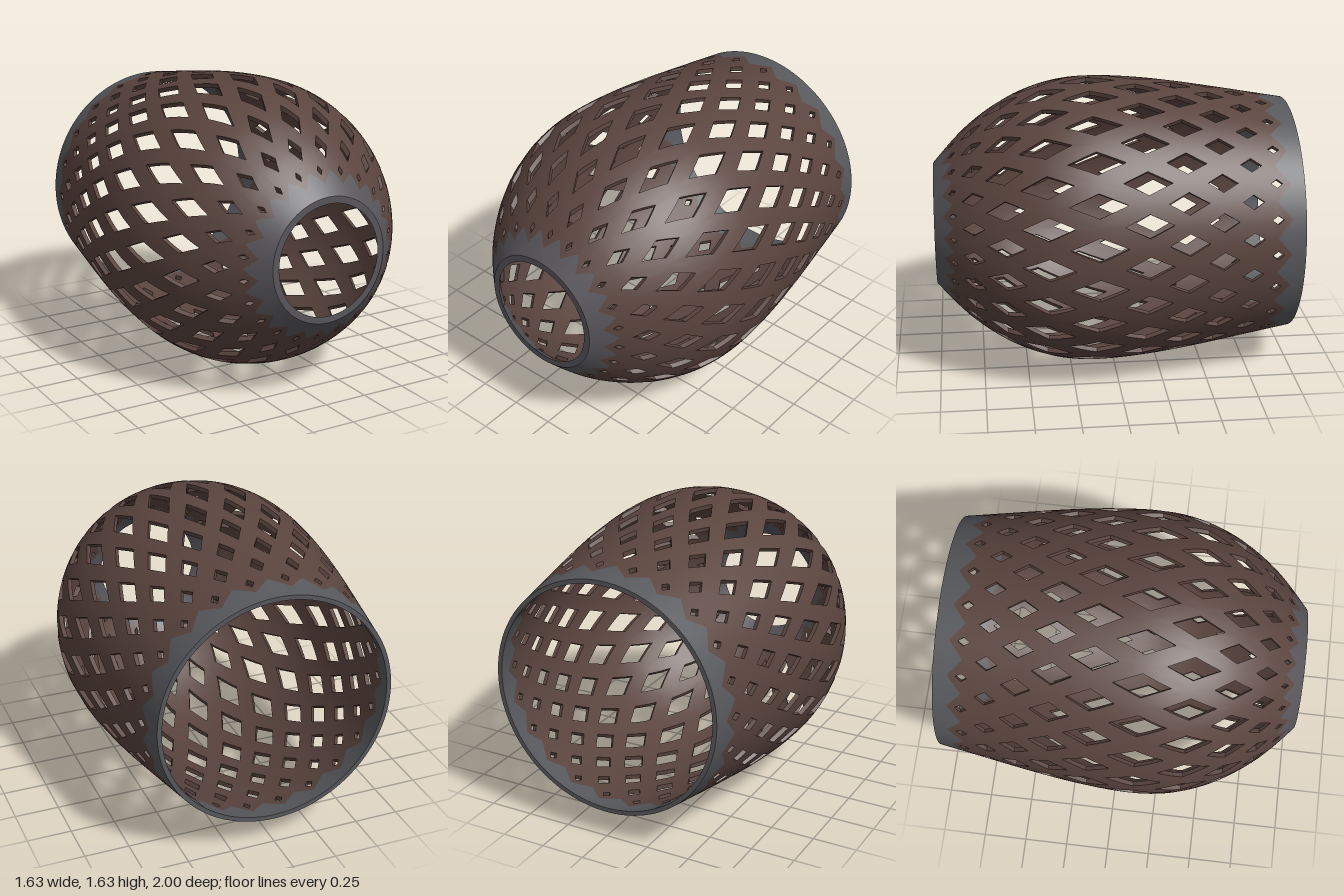
import * as THREE from 'three';
import { toCreasedNormals } from 'three/addons/utils/BufferGeometryUtils.js';

const COUNT = 22, STEP = (2 * Math.PI) / COUNT, HALF = STEP / 2;
const SEG = 5;            // subdivisions along one side of a diamond cell
const WALL = 0.025, AXIS_Y = 0.815;

// Outer radius along the z axis
const profileZ = [-1, -0.8, -0.6, -0.4, -0.2, 0, 0.13, 0.25, 0.4, 0.6, 0.8, 0.9, 1];
const profileR = [0.665, 0.7, 0.735, 0.768, 0.795, 0.812, 0.815, 0.806, 0.774, 0.69, 0.552, 0.456, 0.345];
const spline = new THREE.CubicInterpolant(profileZ, profileR, 1);
const radius = (z) => spline.evaluate(Math.min(1, Math.max(-1, z)))[0];

// Rows of holes: z, angular half width, half height
const rows = [
  [-0.84, 0.034, 0.033], [-0.705, 0.055, 0.06], [-0.54, 0.068, 0.083],
  [-0.35, 0.078, 0.11], [-0.135, 0.08, 0.132], [0.13, 0.081, 0.155],
  [0.395, 0.08, 0.14], [0.615, 0.077, 0.1], [0.785, 0.062, 0.058], [0.895, 0.03, 0.02],
];
const LATTICE_BACK = -0.92, LATTICE_FRONT = 0.95;

// Point on the shell; depth 0 is the outer skin, 1 the inner skin
function shellPoint([angle, z, depth]) {
  const e = 0.01, a = Math.max(-1, z - e), b = Math.min(1, z + e);
  const slope = (radius(b) - radius(a)) / (b - a);
  const r = radius(z) - depth * WALL * Math.hypot(1, slope);
  return [Math.sin(angle) * r, AXIS_Y + Math.cos(angle) * r, z];
}

// Adds a grid of quads, f(u, v) giving [angle, z, depth]
function patch(out, nu, nv, f, flip = false) {
  const grid = [];
  for (let i = 0; i <= nu; i++) {
    grid.push([]);
    for (let j = 0; j <= nv; j++) grid[i].push(shellPoint(f(i / nu, j / nv)));
  }
  for (let i = 0; i < nu; i++) {
    for (let j = 0; j < nv; j++) {
      const a = grid[i][j], b = grid[i + 1][j], c = grid[i + 1][j + 1], d = grid[i][j + 1];
      if (flip) out.push(...a, ...d, ...c, ...a, ...c, ...b);
      else out.push(...a, ...b, ...c, ...a, ...c, ...d);
    }
  }
}

function makeMesh(name, positions, color) {
  const geometry = new THREE.BufferGeometry();
  geometry.setAttribute('position', new THREE.Float32BufferAttribute(positions, 3));
  const material = new THREE.MeshStandardMaterial({ color });
  const mesh = new THREE.Mesh(toCreasedNormals(geometry, 0.6), material);
  mesh.name = name;
  return mesh;
}

const mix = THREE.MathUtils.lerp;
const mix2 = (p, q, t) => [mix(p[0], q[0], t), mix(p[1], q[1], t)];

// Odd rows sit half a step round from even rows
const rowAngle = (row, k) => k * STEP + (row % 2 ? 0 : HALF);

// One diamond cell: frame on both skins plus the walls of its hole
function addCell(out, row, angle) {
  const [z, halfWidth, halfHeight] = rows[row];
  const below = row > 0 ? rows[row - 1][0] : LATTICE_BACK;
  const above = row < rows.length - 1 ? rows[row + 1][0] : LATTICE_FRONT;
  const cell = [[angle + HALF, z], [angle, below], [angle - HALF, z], [angle, above]];
  const hole = [[angle + halfWidth, z], [angle, z - halfHeight], [angle - halfWidth, z], [angle, z + halfHeight]];
  for (let k = 0; k < 4; k++) {
    const n = (k + 1) % 4;
    const edge = (u) => mix2(hole[k], hole[n], u);
    for (const depth of [0, 1]) {
      patch(out, SEG, 2, (u, v) => [...mix2(mix2(cell[k], cell[n], u), edge(u), v), depth], depth === 1);
    }
    patch(out, SEG, 1, (u, v) => [...edge(u), v]);
  }
}

// Solid band from the zigzag edge of the lattice to an open end
function addBand(out, row, tipZ, endZ) {
  const front = endZ > 0, start = rowAngle(row, 0);
  for (let k = 0; k < COUNT * 2; k++) {
    const a0 = start + k * HALF;
    const z0 = k % 2 ? rows[row][0] : tipZ, z1 = k % 2 ? tipZ : rows[row][0];
    for (const depth of [0, 1]) {
      patch(out, 4, SEG, (u, v) => [a0 + v * HALF, mix(mix(z0, z1, v), endZ, u), depth], front === (depth === 1));
    }
    // Flat lip
    patch(out, 1, SEG, (u, v) => [a0 + v * HALF, endZ, u], !front);
  }
}

export function createModel() {
  const model = new THREE.Group();
  model.name = 'latticeShade';

  const lattice = [];
  rows.forEach((_, row) => {
    for (let k = 0; k < COUNT; k++) addCell(lattice, row, rowAngle(row, k));
  });
  model.add(makeMesh('diamondLattice', lattice, 0x5a443e));

  const collar = [];
  addBand(collar, rows.length - 1, LATTICE_FRONT, 1);
  model.add(makeMesh('frontCollar', collar, 0x57555a));

  const rim = [];
  addBand(rim, 0, LATTICE_BACK, -1);
  model.add(makeMesh('backRim', rim, 0x57585c));

  // Bands face outward from their open ends
  return model;
}
